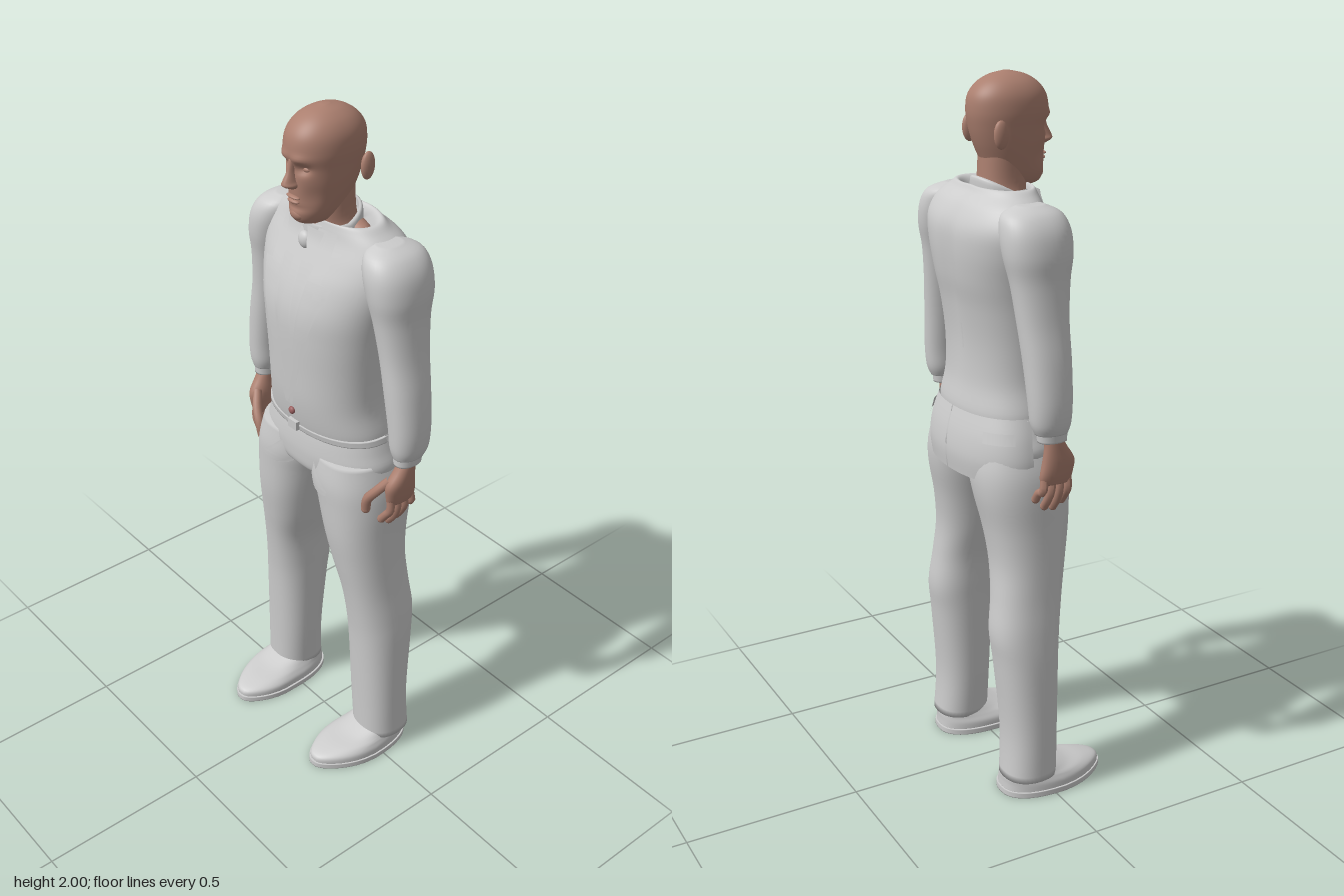
import * as THREE from 'three';

const std = (name, color, side = THREE.FrontSide) => Object.assign(new THREE.MeshStandardMaterial({ color, side }), { name });

// Catmull-Rom refinement of rings [y, x0, x1, zBack, zFront]
function refine(rings, sub = 5) {
  const out = [], at = (i) => rings[Math.max(0, Math.min(rings.length - 1, i))];
  for (let i = 0; i < rings.length - 1; i++) {
    for (let s = 0; s < sub; s++) {
      const t = s / sub, [a, b, c, d] = [at(i - 1), at(i), at(i + 1), at(i + 2)];
      out.push(b.map((v, k) => 0.5 * (2 * v + (c[k] - a[k]) * t + (2 * a[k] - 5 * v + 4 * c[k] - d[k]) * t * t
        + (3 * v - a[k] - 3 * c[k] + d[k]) * t * t * t)));
    }
  }
  out.push(rings[rings.length - 1]);
  return out;
}

// Skin of superellipse rings listed upward; a0/a1 limit it to an open panel
function loft(rings, { n = 2.2, seg = 40, a0 = 0, a1 = Math.PI * 2, cap = true, sub = 5, warp } = {}) {
  const rows = refine(rings, sub), full = a1 - a0 > 6.28, cols = full ? seg : seg + 1;
  const pos = [], idx = [], p = new THREE.Vector3();
  const pw = (v) => Math.sign(v) * Math.pow(Math.abs(v), 2 / n);
  const push = () => { if (warp) warp(p); pos.push(p.x, p.y, p.z); };
  for (const [y, x0, x1, zb, zf] of rows) {
    for (let i = 0; i < cols; i++) {
      const a = a0 + (a1 - a0) * i / seg;
      p.set((x0 + x1) / 2 + (x1 - x0) / 2 * pw(Math.cos(a)), y, (zb + zf) / 2 + (zf - zb) / 2 * pw(Math.sin(a)));
      push();
    }
  }
  for (let r = 0; r < rows.length - 1; r++) {
    for (let i = 0; i < seg; i++) {
      const a = r * cols + i, b = r * cols + (i + 1) % cols;
      idx.push(a, a + cols, b, b, a + cols, b + cols);
    }
  }
  if (full && cap) {
    [0, rows.length - 1].forEach((r, top) => {
      const [y, x0, x1, zb, zf] = rows[r], c = pos.length / 3;
      p.set((x0 + x1) / 2, y, (zb + zf) / 2);
      push();
      for (let i = 0; i < seg; i++) {
        const a = r * cols + i, b = r * cols + (i + 1) % cols;
        idx.push(c, top ? b : a, top ? a : b);
      }
    });
  }
  return build(pos, idx);
}

function build(pos, idx) {
  const g = new THREE.BufferGeometry();
  g.setAttribute('position', new THREE.Float32BufferAttribute(pos, 3));
  g.setIndex(idx);
  g.computeVertexNormals();
  return g;
}

// Thin cloth strip [y, xa, xb] laid on a lofted surface; dir 1 = front, -1 = back
function strip(rings, rows, off, dir = 1, n = 2.2) {
  const fine = refine(rings), pos = [], idx = [], C = 6;
  const surf = (x, y) => {
    let k = 0;
    while (k < fine.length - 2 && fine[k + 1][0] < y) k++;
    const t = (y - fine[k][0]) / (fine[k + 1][0] - fine[k][0]);
    const [x0, x1, zb, zf] = [1, 2, 3, 4].map((j) => fine[k][j] + (fine[k + 1][j] - fine[k][j]) * t);
    const u = Math.min(1, Math.abs((x - (x0 + x1) / 2) / ((x1 - x0) / 2)));
    return (zb + zf) / 2 + dir * ((zf - zb) / 2 * Math.pow(1 - Math.pow(u, n), 1 / n) + off);
  };
  const dense = [];
  rows.forEach((r, i) => {
    if (i) for (let s = 1; s < 4; s++) dense.push(rows[i - 1].map((v, k) => v + (r[k] - v) * s / 4));
    dense.push(r);
  });
  dense.forEach(([y, xa, xb], r) => {
    for (let c = 0; c <= C; c++) {
      const x = xa + (xb - xa) * c / C;
      pos.push(x, y, surf(x, y));
      if (r && c) {
        const d = r * (C + 1) + c, u = d - C - 1;
        if (dir > 0) idx.push(u - 1, d - 1, d, u - 1, d, u);
        else idx.push(u - 1, d, d - 1, u - 1, u, d);
      }
    }
  });
  return build(pos, idx);
}

const sphere = (x, y, z, rx, ry, rz) => new THREE.SphereGeometry(1, 20, 14).scale(rx, ry, rz).translate(x, y, z);
const tube = (pts, r) => new THREE.TubeGeometry(new THREE.CatmullRomCurve3(pts.map((p) => new THREE.Vector3(...p))), 10, r, 10);
const sym = (rows) => rows.map(([y, x, zb, zf]) => [y, -x, x, zb, zf]);
const bump = (x, y, cx, cy, sx, sy) => Math.exp(-(((x - cx) / sx) ** 2) - ((y - cy) / sy) ** 2);

export function createModel() {
  const root = new THREE.Group();
  const suit = std('suit grey', 0xcccccc), cloth = std('thin cloth grey', 0xcccccc, THREE.DoubleSide);
  const skin = std('skin brown', 0xab7f6f), red = std('button red', 0x9a5f5f);
  const add = (name, geo, mat) => {
    const m = new THREE.Mesh(geo, mat);
    m.name = name;
    root.add(m);
  };
  const pair = (name, geo, mat) => {
    add(name + 'Left', geo, mat);
    const g = geo.clone().scale(-1, 1, 1), ix = g.index.array;
    for (let i = 0; i < ix.length; i += 3) [ix[i], ix[i + 1]] = [ix[i + 1], ix[i]];
    g.computeVertexNormals();
    add(name + 'Right', g, mat);
  };

  // Jacket body, with rolled neckline and a hollow down the spine
  const body = sym([[1.08, 0.2, -0.16, 0.088], [1.12, 0.203, -0.17, 0.102], [1.2, 0.187, -0.158, 0.115], [1.3, 0.189, -0.157, 0.12],
    [1.4, 0.2, -0.168, 0.124], [1.48, 0.215, -0.183, 0.122], [1.56, 0.235, -0.19, 0.1], [1.62, 0.24, -0.185, 0.073],
    [1.67, 0.215, -0.16, 0.05], [1.7, 0.175, -0.13, 0.042]]);
  const rim = sym([[1.715, 0.15, -0.118, 0.038], [1.705, 0.13, -0.108, 0.033], [1.67, 0.11, -0.1, 0.03]]);
  add('jacketBody', loft([...body, ...rim], {
    seg: 64,
    warp: (p) => { if (p.z < -0.1) p.z += 0.014 * bump(p.x, p.y, 0, 1.5, 0.035, 0.25); },
  }), suit);

  // Split jacket tail at the back and its pocket flaps
  const tail = sym([[0.945, 0.232, -0.19, 0.09], [1.0, 0.236, -0.195, 0.09], [1.06, 0.225, -0.188, 0.085], [1.12, 0.206, -0.172, 0.09]]);
  pair('jacketTail', loft(tail, { a0: Math.PI * 1.503, a1: Math.PI * 2, seg: 24 }), cloth);
  const flap = sym([[1.055, 0.231, -0.194, 0.09], [1.085, 0.222, -0.187, 0.09]]);
  pair('tailPocketFlap', loft(flap, { a0: Math.PI * 1.72, a1: Math.PI * 1.9, seg: 12 }), cloth);

  // Shirt front, tie, lapels and pockets
  add('shirtFront', strip(body, [[1.695, -0.07, 0.07], [1.6, -0.06, 0.06], [1.4, -0.032, 0.032], [1.18, -0.003, 0.003]], 0.003), cloth);
  add('tie', strip(body, [[1.635, -0.013, 0.013], [1.5, -0.021, 0.021], [1.35, -0.022, 0.022], [1.2, -0.004, 0.004]], 0.01), cloth);
  add('tieKnot', sphere(0, 1.655, 0.062, 0.022, 0.024, 0.016), suit);
  pair('lapel', strip(body, [[1.698, 0.07, 0.1], [1.61, 0.062, 0.1], [1.578, 0.056, 0.098], [1.573, 0.055, 0.132], [1.545, 0.052, 0.122],
    [1.4, 0.033, 0.073], [1.19, 0.002, 0.014]], 0.009), cloth);
  pair('shirtCollarTip', strip(body, [[1.698, 0.01, 0.07], [1.66, 0.02, 0.062], [1.615, 0.04, 0.046]], 0.02), cloth);
  add('breastPocket', strip(body, [[1.552, 0.088, 0.114], [1.538, 0.088, 0.114]], 0.014), cloth);
  pair('backTuckUpper', strip(body, [[1.53, 0.05, 0.056], [1.48, 0.05, 0.056]], 0.003, -1), cloth);
  pair('backTuckLower', strip(body, [[1.36, 0.036, 0.042], [1.29, 0.036, 0.042]], 0.003, -1), cloth);
  add('jacketButton', sphere(0, 1.16, 0.113, 0.011, 0.011, 0.008), red);

  // Shirt collar band, higher at the nape
  add('shirtCollar', loft(sym([[1.65, 0.085, -0.1, 0.055], [1.69, 0.078, -0.1, 0.052], [1.7, 0.07, -0.09, 0.05]]), {
    cap: false, warp: (p) => { p.y += Math.max(0, -p.z - 0.02) * 0.5; },
  }), cloth);

  // Hips, belt and trousers
  add('hips', loft(sym([[0.955, 0.1, -0.13, 0.06], [0.975, 0.2, -0.16, 0.092], [1.02, 0.232, -0.175, 0.099], [1.07, 0.218, -0.17, 0.097],
    [1.12, 0.2, -0.16, 0.09]])), suit);
  add('belt', loft(sym([[1.098, 0.213, -0.168, 0.101], [1.116, 0.209, -0.168, 0.105]])), suit);
  add('beltBuckle', new THREE.BoxGeometry(0.036, 0.026, 0.012).translate(0, 1.114, 0.108), suit);
  const leg = [[0.055, 0.13, 0.288, -0.132, 0.027], [0.2, 0.12, 0.285, -0.125, 0.03], [0.4, 0.11, 0.28, -0.142, 0.037],
    [0.5, 0.105, 0.272, -0.153, 0.045], [0.6, 0.097, 0.26, -0.143, 0.058], [0.7, 0.07, 0.253, -0.137, 0.075],
    [0.8, 0.045, 0.25, -0.148, 0.09], [0.9, 0.018, 0.25, -0.168, 0.097], [0.97, 0.0, 0.243, -0.172, 0.1], [1.04, 0.005, 0.222, -0.16, 0.092]];
  pair('trouserLeg', loft(leg, { n: 2.3 }), suit);
  pair('frontPocketBag', strip(leg, [[1.03, 0.035, 0.06], [0.985, 0.028, 0.105], [0.96, 0.036, 0.138], [0.945, 0.055, 0.135], [0.938, 0.08, 0.12]], 0.008), cloth);

  // Shoes narrowing to a pointed toe
  const toe = (p) => {
    const t = Math.max(0, (p.z - 0.03) / 0.17);
    p.x = 0.197 + (p.x - 0.197) * (1 - 0.4 * t * t) - 0.014 * t;
  };
  pair('shoeSole', loft([[0, 0.107, 0.287, -0.135, 0.198], [0.017, 0.107, 0.287, -0.135, 0.198]], { n: 2.5, warp: toe }), suit);
  pair('shoeUpper', loft([[0.015, 0.112, 0.283, -0.131, 0.193], [0.035, 0.113, 0.282, -0.13, 0.188], [0.05, 0.122, 0.276, -0.13, 0.14],
    [0.062, 0.13, 0.27, -0.128, 0.075], [0.08, 0.14, 0.265, -0.12, 0.02]], { n: 2.5, warp: toe }), suit);

  // Sleeves and cuffs
  pair('sleeve', loft([[1.11, 0.268, 0.335, -0.085, 0.006], [1.14, 0.257, 0.345, -0.097, 0.014], [1.2, 0.25, 0.347, -0.103, 0.018],
    [1.3, 0.232, 0.336, -0.109, 0.022], [1.4, 0.213, 0.318, -0.117, 0.025], [1.5, 0.192, 0.308, -0.128, 0.035],
    [1.57, 0.172, 0.309, -0.142, 0.047], [1.63, 0.155, 0.297, -0.143, 0.047], [1.67, 0.152, 0.268, -0.128, 0.03], [1.69, 0.17, 0.225, -0.08, -0.01]]), suit);
  pair('shirtCuff', loft([[1.088, 0.272, 0.331, -0.078, 0.004], [1.118, 0.27, 0.333, -0.081, 0.005]]), suit);

  // Hands: palm, four curled fingers and thumb
  pair('palm', loft([[0.965, 0.278, 0.31, -0.065, 0.022], [0.99, 0.275, 0.318, -0.068, 0.028], [1.03, 0.274, 0.325, -0.062, 0.03],
    [1.07, 0.28, 0.326, -0.058, 0.005], [1.1, 0.282, 0.325, -0.058, -0.012]], { seg: 24 }), skin);
  for (let i = 0; i < 4; i++) {
    const z = 0.014 - i * 0.023, tip = [0.9, 0.885, 0.89, 0.915][i];
    pair('finger' + (i + 1), tube([[0.296, 0.985, z], [0.297, 0.945, z * 1.1], [0.283, tip + 0.025, z * 1.15], [0.264, tip, z * 1.15]], 0.0115), skin);
    pair('fingertip' + (i + 1), sphere(0.264, tip, z * 1.15, 0.0115, 0.0115, 0.0115), skin);
  }
  pair('thumb', tube([[0.29, 1.04, 0.012], [0.262, 1.0, 0.036], [0.238, 0.965, 0.046], [0.23, 0.93, 0.044]], 0.0135), skin);
  pair('thumbTip', sphere(0.23, 0.93, 0.044, 0.0135, 0.015, 0.0135), skin);

  // Neck and shoulder slope inside the collar
  add('neck', loft(sym([[1.64, 0.1, -0.1, 0.03], [1.68, 0.076, -0.092, 0.04], [1.72, 0.062, -0.085, 0.045], [1.8, 0.06, -0.08, 0.04]])), skin);
  add('shoulderSlope', sphere(0, 1.665, -0.055, 0.12, 0.045, 0.042), skin);

  // Head with eye sockets and brow shaped in
  add('head', loft(sym([[1.705, 0.025, -0.02, 0.07], [1.715, 0.043, -0.045, 0.09], [1.74, 0.056, -0.062, 0.1], [1.78, 0.067, -0.08, 0.1],
    [1.82, 0.075, -0.097, 0.102], [1.86, 0.08, -0.109, 0.104], [1.9, 0.084, -0.115, 0.11], [1.94, 0.08, -0.11, 0.103],
    [1.97, 0.064, -0.088, 0.08], [1.99, 0.038, -0.055, 0.046], [2.0, 0.008, -0.014, 0.004]]), {
    seg: 72, sub: 7, n: 2.15,
    warp: (p) => {
      if (p.z < 0.03) return;
      const x = Math.abs(p.x);
      p.z += 0.006 * bump(x, p.y, 0.03, 1.888, 0.025, 0.012) - 0.013 * bump(x, p.y, 0.031, 1.862, 0.017, 0.013)
        - 0.006 * bump(x, p.y, 0.05, 1.79, 0.02, 0.03) - 0.005 * bump(x, p.y, 0, 1.755, 0.03, 0.008);
    },
  }), skin);
  add('nose', loft(sym([[1.808, 0.012, 0.08, 0.112], [1.818, 0.019, 0.08, 0.131], [1.83, 0.014, 0.08, 0.13], [1.855, 0.009, 0.08, 0.117],
    [1.885, 0.01, 0.08, 0.11]]), { seg: 20 }), skin);
  add('upperLip', sphere(0, 1.784, 0.099, 0.024, 0.005, 0.01), skin);
  add('lowerLip', sphere(0, 1.772, 0.098, 0.021, 0.006, 0.01), skin);
  add('chin', sphere(0, 1.735, 0.084, 0.026, 0.018, 0.018), skin);
  pair('eye', sphere(0.031, 1.861, 0.08, 0.013, 0.008, 0.009), skin);
  pair('ear', sphere(0.087, 1.85, -0.012, 0.012, 0.037, 0.021).rotateX(-0.03), skin);

  return root;
}
